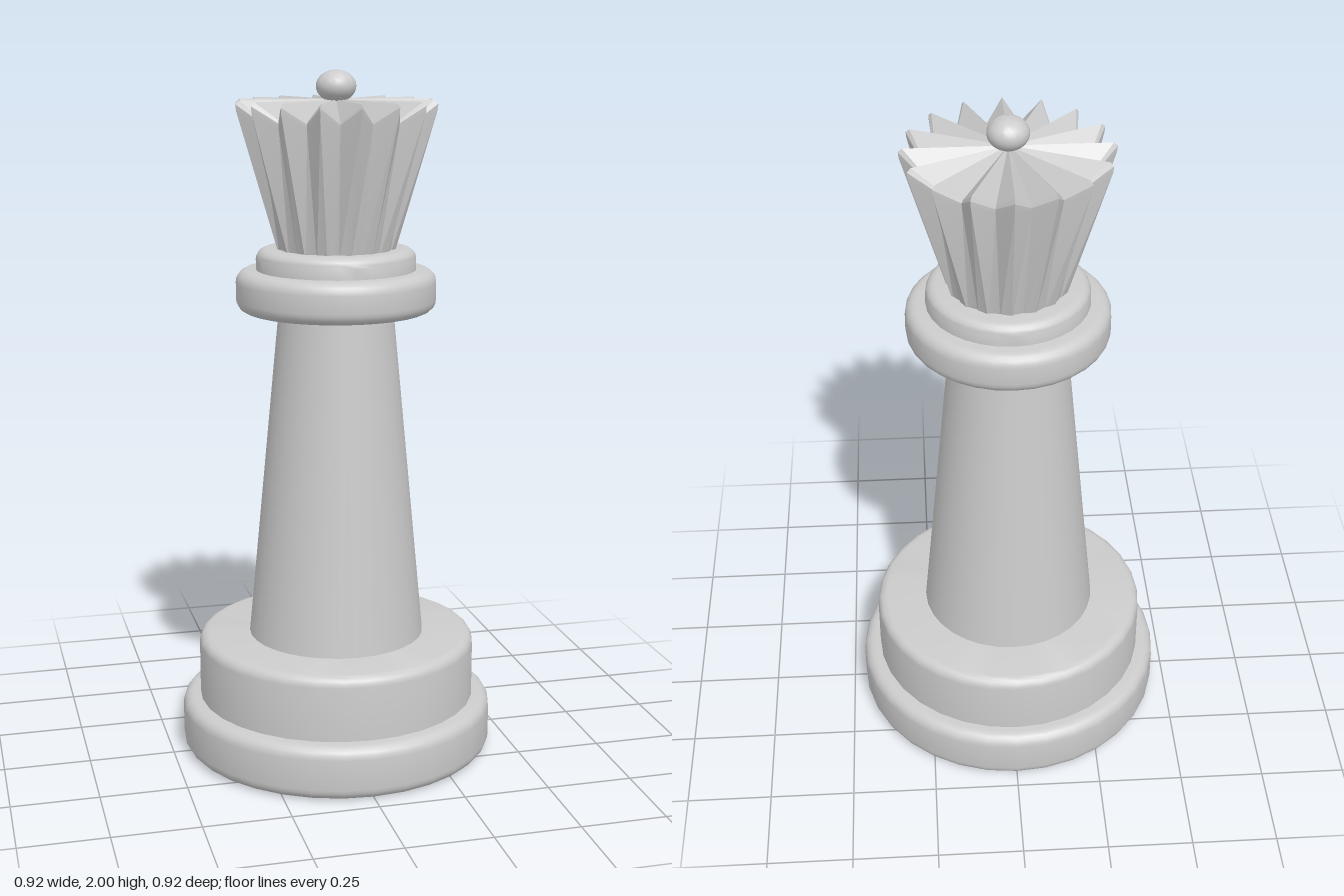
import * as THREE from 'three';
import { toCreasedNormals } from 'three/addons/utils/BufferGeometryUtils.js';

const SIDES = 32;
const material = new THREE.MeshStandardMaterial({ color: 0xcccccc });

function part(name, geometry, crease) {
  const mesh = new THREE.Mesh(toCreasedNormals(geometry, crease), material);
  mesh.name = name;
  return mesh;
}

// Quarter-round edge centred at (r, y), starting at the given angle
function fillet(r, y, size, start) {
  return Array.from({ length: 6 }, (_, i) => {
    const a = start + (i / 5) * Math.PI / 2;
    return new THREE.Vector2(r + size * Math.cos(a), y + size * Math.sin(a));
  });
}

// Turned disc with a rounded top edge and an optionally rounded bottom edge
function disc(name, radius, y0, y1, top, bottom) {
  const points = [new THREE.Vector2(0, y0)];
  if (bottom) points.push(...fillet(radius - bottom, y0 + bottom, bottom, -Math.PI / 2));
  else points.push(new THREE.Vector2(radius, y0));
  points.push(...fillet(radius - top, y1 - top, top, 0), new THREE.Vector2(0, y1));
  return part(name, new THREE.LatheGeometry(points, SIDES), 0.6);
}

// Pleated crown: each ring alternates between ridge and valley (radius, height)
function crownGeometry() {
  const rings = [
    { ridge: [0, 1.47], valley: [0, 1.47] },
    { ridge: [0.163, 1.47], valley: [0.157, 1.47] },
    { ridge: [0.286, 1.89], valley: [0.233, 1.85] },
    { ridge: [0.288, 1.908], valley: [0.234, 1.862] },
    { ridge: [0.277, 1.918], valley: [0.228, 1.868] },
    { ridge: [0, 1.918], valley: [0, 1.918] },
  ];
  const positions = [];
  const index = [];
  rings.forEach((ring, i) => {
    for (let j = 0; j < SIDES; j++) {
      const [r, y] = j % 2 ? ring.valley : ring.ridge;
      const a = (j / SIDES) * Math.PI * 2;
      positions.push(r * Math.sin(a), y, r * Math.cos(a));
      if (i === rings.length - 1) continue;
      const next = (j + 1) % SIDES;
      const a0 = i * SIDES + j, b0 = i * SIDES + next;
      const a1 = a0 + SIDES, b1 = b0 + SIDES;
      // Leave out the collapsed halves at the two poles
      if (i > 0) index.push(a0, b0, b1);
      if (i === 0) index.push(a0, b1, a1);
      else if (i < rings.length - 2) index.push(a0, b1, a1);
    }
  });
  const geometry = new THREE.BufferGeometry();
  geometry.setAttribute('position', new THREE.Float32BufferAttribute(positions, 3));
  geometry.setIndex(index);
  return geometry;
}

export function createModel() {
  const model = new THREE.Group();
  model.name = 'chessQueen';

  // Stepped foot
  model.add(disc('base', 0.462, 0, 0.16, 0.035, 0.035));
  model.add(disc('upperBase', 0.41, 0.15, 0.35, 0.03, 0));

  // Tapered body
  const stem = new THREE.CylinderGeometry(0.165, 0.26, 0.99, SIDES);
  stem.translate(0, 0.835, 0);
  model.add(part('stem', stem, 0.6));

  // Double collar
  model.add(disc('collar', 0.288, 1.32, 1.44, 0.035, 0.035));
  model.add(disc('upperCollar', 0.23, 1.43, 1.5, 0.03, 0));

  // Crown and finial
  model.add(part('crown', crownGeometry(), 0.3));
  const ball = new THREE.SphereGeometry(1, SIDES, 16);
  ball.scale(0.057, 0.045, 0.057);
  ball.translate(0, 1.955, 0);
  model.add(part('finial', ball, 0.6));

  return model;
}
